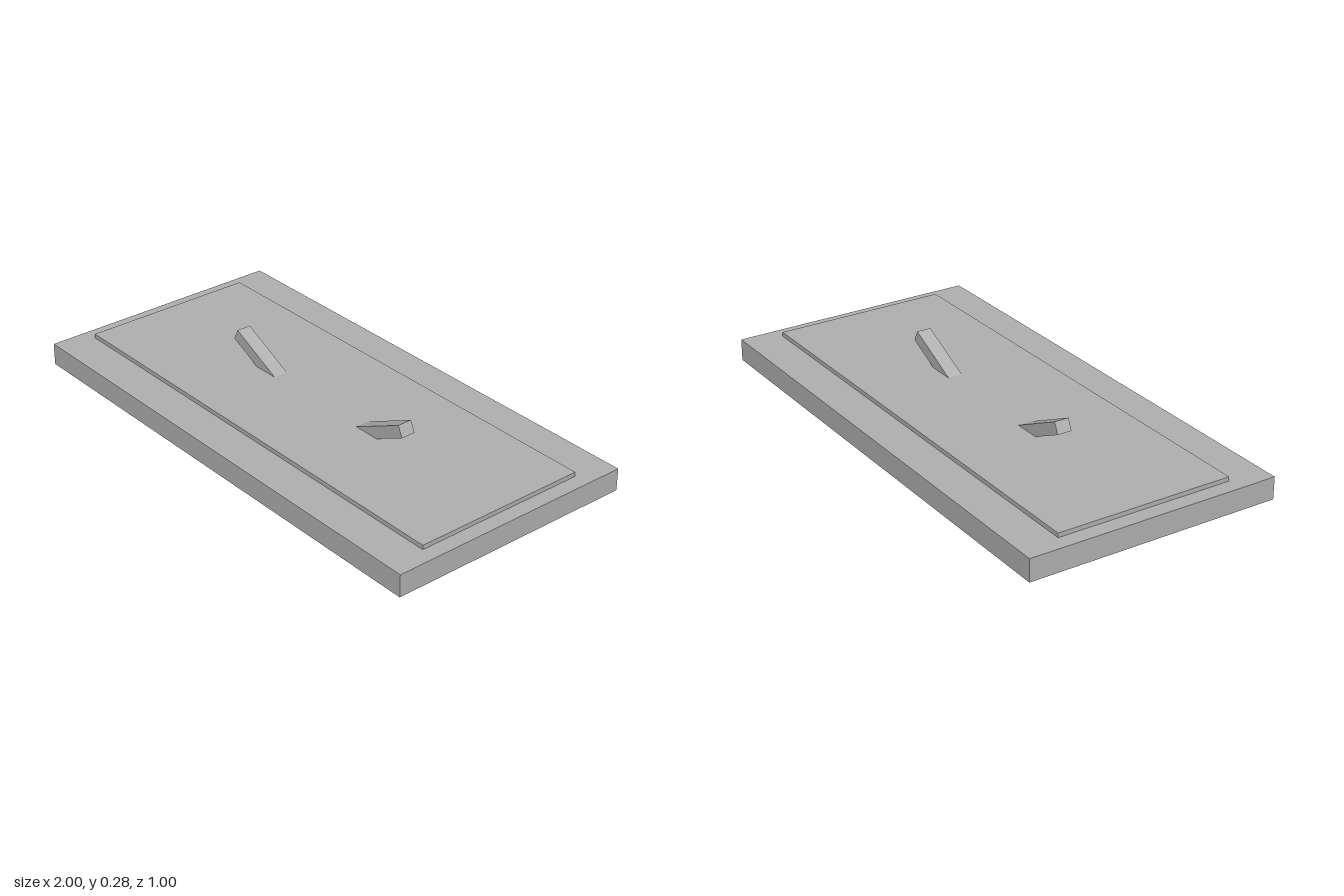
import * as THREE from 'three';

export function createModel() {
  const model = new THREE.Group();
  const grey = new THREE.MeshStandardMaterial({ color: 0xb0b0b0 });
  grey.name = 'grey';

  // Box given by its size and centre
  const addBox = (name, [w, h, d], [x, y, z], tilt = 0) => {
    const mesh = new THREE.Mesh(new THREE.BoxGeometry(w, h, d), grey);
    mesh.name = name;
    mesh.position.set(x, y, z);
    mesh.rotation.z = tilt;
    model.add(mesh);
  };

  // Main slab with a thin raised panel on top
  addBox('slab', [2, 0.087, 1], [0, 0.1175, 0]);
  addBox('topPanel', [1.88, 0.017, 0.7], [0, 0.1695, 0]);

  // Small foot block under the centre
  addBox('footBlock', [0.177, 0.06, 0.174], [0, 0.033, 0]);

  // Two slanted arms rising from the foot through the slab
  for (const side of [-1, 1]) {
    addBox(side > 0 ? 'leftArm' : 'rightArm', [0.56, 0.047, 0.058],
      [side * 0.212, 0.142, 0], side * Math.atan(0.48));
  }
  return model;
}
